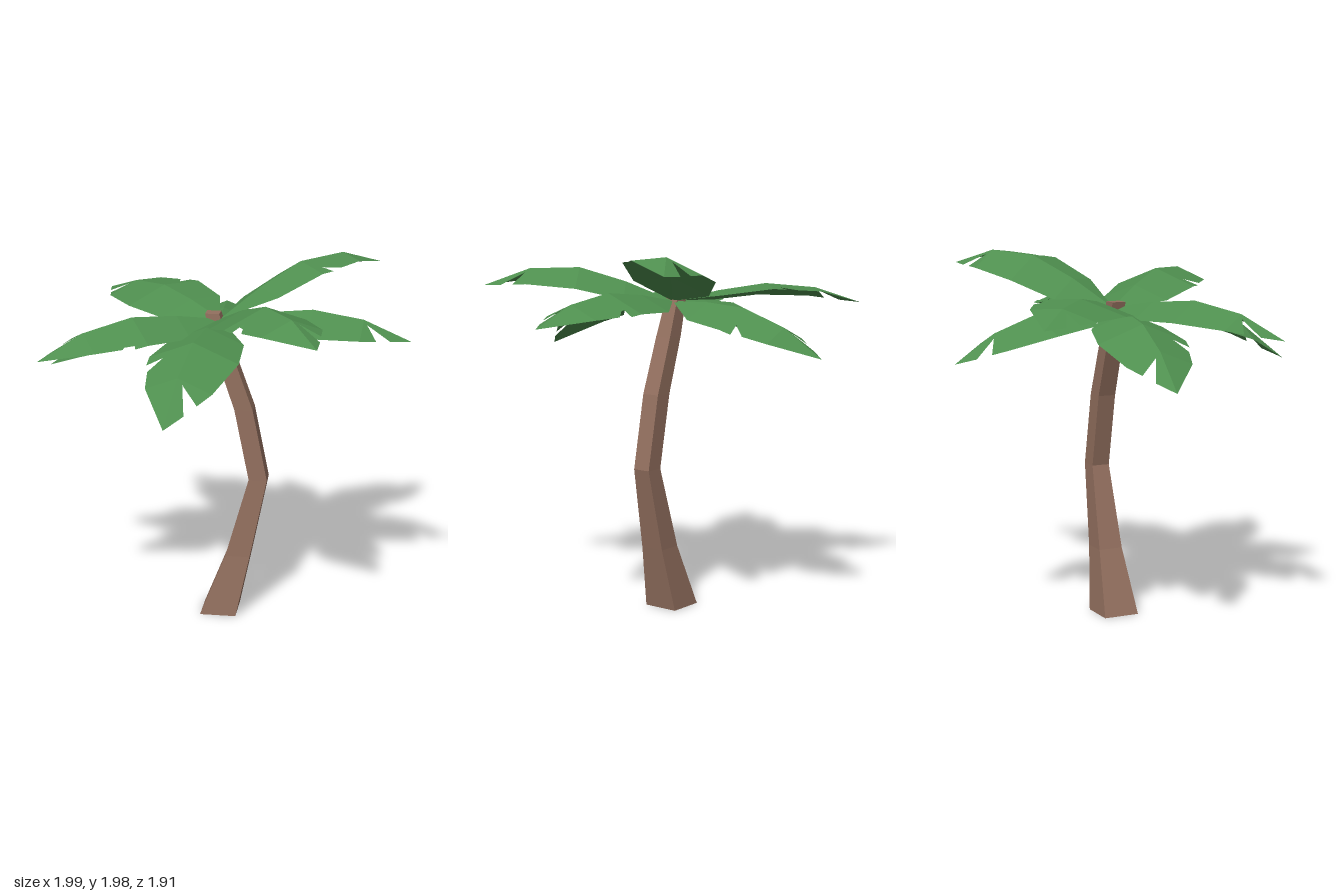
import * as THREE from 'three';

const bark = new THREE.MeshStandardMaterial({ color: 0x93705f });
bark.name = 'bark brown';
const green = new THREE.MeshStandardMaterial({ color: 0x4f8f4f, side: THREE.DoubleSide });
green.name = 'leaf green';

// Flat-shaded geometry from a plain list of triangle corners
function facets(corners) {
  const g = new THREE.BufferGeometry().setFromPoints(corners);
  g.computeVertexNormals();
  return g;
}

// Bent, tapering square trunk: each ring is [x, y, z, half width]
function makeTrunk() {
  const rings = [
    [-0.03, 0, -0.03, 0.1], [0.076, 0.35, -0.03, 0.068], [0.185, 0.8, -0.03, 0.05],
    [0.105, 1.2, -0.03, 0.05], [0.0, 1.5, -0.03, 0.047], [-0.067, 1.725, -0.035, 0.038],
  ].map(([x, y, z, h]) =>
    [[-1, 1], [1, 1], [1, -1], [-1, -1]].map(([a, b]) => new THREE.Vector3(x + a * h, y, z + b * h)));
  const out = [];
  const quad = (a, b, c, d) => out.push(a, b, c, a, c, d);
  for (let i = 0; i < rings.length - 1; i++) {
    for (let k = 0; k < 4; k++) {
      const n = (k + 1) % 4;
      quad(rings[i][k], rings[i][n], rings[i + 1][n], rings[i + 1][k]);
    }
  }
  quad(...rings[rings.length - 1]);
  quad(...rings[0].slice().reverse());
  const mesh = new THREE.Mesh(facets(out), bark);
  mesh.name = 'trunk';
  return mesh;
}

// Frond outline as panels of [along, across]; each half has its own notch
const LENGTH = 1.02;
const tipNotchHalf = [
  [[0, 0], [0.25, 0.2], [0.25, 0]],
  [[0.25, 0], [0.25, 0.2], [0.5, 0.24], [0.5, 0]],
  [[0.5, 0], [0.5, 0.24], [0.77, 0.178], [0.77, 0]],
  [[0.77, 0], [0.77, 0.178], [0.85, 0.122], [0.79, 0.03], [0.92, 0.075], [LENGTH, 0]],
];
const midNotchHalf = [
  [[0, 0], [0.25, 0.195], [0.25, 0]],
  [[0.25, 0], [0.25, 0.195], [0.5, 0.235], [0.5, 0]],
  [[0.5, 0], [0.5, 0.235], [0.57, 0.23], [0.55, 0.145], [0.63, 0.205], [0.77, 0.172], [0.77, 0]],
  [[0.77, 0], [0.77, 0.172], [LENGTH, 0]],
];

// Height of the arched midrib above the base-to-tip line, as a share of the hump
const archU = [0, 0.25, 0.5, 0.77, LENGTH];
const archY = [0, 0.6, 1, 0.8, 0];
function arch(u) {
  let i = 0;
  while (i < 3 && u > archU[i + 1]) i++;
  return THREE.MathUtils.mapLinear(u, archU[i], archU[i + 1], archY[i], archY[i + 1]);
}

// One frond: sides fall away from the rib by drop, and roll lifts its right side
function makeFrond({ name, tip, hump, drop = 0.4, roll = 0, mirror = false }) {
  const base = new THREE.Vector3(-0.03, 1.69, -0.035);
  const span = new THREE.Vector3(...tip).sub(base);
  const flat = Math.hypot(span.x, span.z);
  const dx = span.x / flat, dz = span.z / flat;
  const place = (u, v) => new THREE.Vector3(
    base.x + span.x * u / LENGTH - dz * v,
    base.y + span.y * u / LENGTH + hump * arch(u) - drop * Math.abs(v) + roll * v,
    base.z + span.z * u / LENGTH + dx * v);
  const out = [];
  for (const [half, sign] of [[tipNotchHalf, -1], [midNotchHalf, 1]]) {
    const side = mirror ? -sign : sign;
    for (const panel of half) {
      const flatPts = panel.map(([u, v]) => new THREE.Vector2(u, v * side));
      if (THREE.ShapeUtils.isClockWise(flatPts)) flatPts.reverse();
      for (const tri of THREE.ShapeUtils.triangulateShape(flatPts, [])) {
        const [a, b, c] = tri.map((i) => place(flatPts[i].x, flatPts[i].y));
        const up = b.clone().sub(a).cross(c.clone().sub(a)).y > 0;
        out.push(a, ...(up ? [b, c] : [c, b]));
      }
    }
  }
  const mesh = new THREE.Mesh(facets(out), green);
  mesh.name = name;
  return mesh;
}

export function createModel() {
  const palm = new THREE.Group();
  palm.name = 'palmTree';
  palm.add(makeTrunk());

  const fronds = [
    { name: 'backFrond', tip: [-0.08, 1.44, -0.96], hump: 0.11 },
    { name: 'backLeftFrond', tip: [0.79, 1.9, -0.62], hump: 0.16, drop: 0.3, roll: 0.2 },
    { name: 'leftFrond', tip: [0.99, 1.62, 0.03], hump: 0.11, mirror: true },
    { name: 'frontLeftFrond', tip: [0.56, 1.77, 0.8], hump: 0.14 },
    { name: 'frontFrond', tip: [-0.17, 1.38, 0.95], hump: 0.15 },
    { name: 'frontRightFrond', tip: [-0.9, 1.57, 0.51], hump: 0.12, mirror: true },
    { name: 'rightFrond', tip: [-1, 1.36, -0.16], hump: 0.12, mirror: true },
    { name: 'backRightFrond', tip: [-0.77, 1.67, -0.76], hump: 0.1, drop: 0.2, roll: 0.15 },
  ];
  const crown = new THREE.Group();
  crown.name = 'crown';
  fronds.forEach((f) => crown.add(makeFrond(f)));
  palm.add(crown);
  return palm;
}
